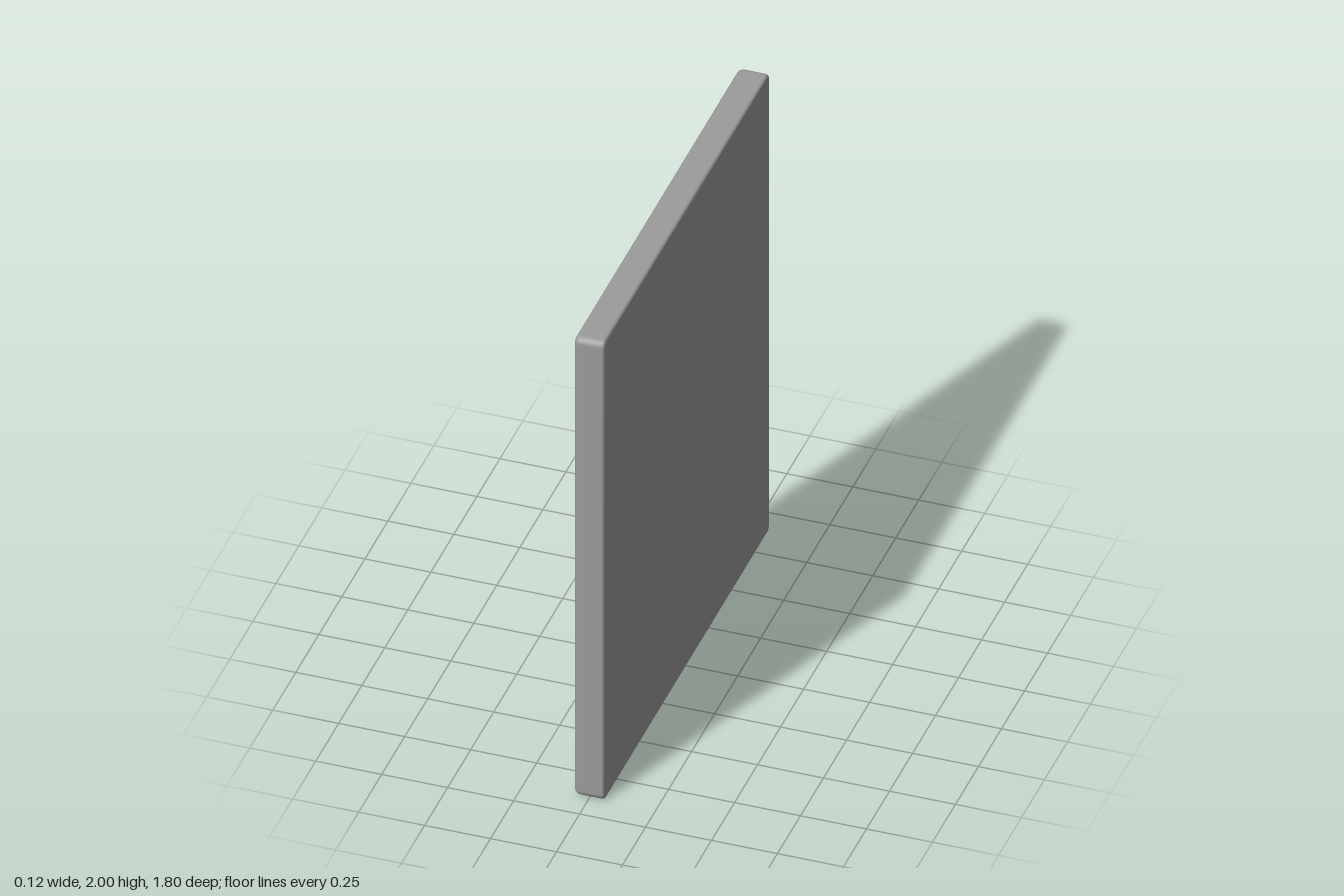
import * as THREE from 'three';

const HALF_Y = 1, HALF_Z = 0.9, HALF_X = 0.058;
const CORNER_STEPS = 5;

// Rounded rectangle in the y-z plane, inset from the outer edge, at depth x
function ring({ inset, x, radius }) {
  const pts = [];
  const hy = HALF_Y - inset - radius, hz = HALF_Z - inset - radius;
  [[1, 1], [-1, 1], [-1, -1], [1, -1]].forEach(([sy, sz], c) => {
    for (let i = 0; i <= CORNER_STEPS; i++) {
      const a = (c + i / CORNER_STEPS) * Math.PI / 2;
      pts.push([x, sy * hy + Math.cos(a) * radius, sz * hz + Math.sin(a) * radius]);
    }
  });
  return pts;
}

// Skin a list of rings; optionally close the first or last with a flat cap
function loft(sections, capStart, capEnd) {
  const n = 4 * (CORNER_STEPS + 1);
  const position = sections.flatMap(s => ring(s).flat());
  const index = [];
  for (let k = 0; k < sections.length - 1; k++) {
    for (let i = 0; i < n; i++) {
      const j = (i + 1) % n;
      const a = k * n + i, d = k * n + j, b = a + n, c = d + n;
      index.push(a, b, c, a, c, d);
    }
  }
  const cap = (k, flip) => {
    const center = position.length / 3;
    position.push(sections[k].x, 0, 0);
    for (let i = 0; i < n; i++) {
      const a = k * n + i, b = k * n + (i + 1) % n;
      index.push(center, flip ? b : a, flip ? a : b);
    }
  };
  if (capStart) cap(0, false);
  if (capEnd) cap(sections.length - 1, true);
  const geometry = new THREE.BufferGeometry();
  geometry.setAttribute('position', new THREE.Float32BufferAttribute(position, 3));
  geometry.setIndex(index);
  geometry.computeVertexNormals();
  return geometry;
}

// Quarter-round profile from the flat face to the side
function fillet(size, side, steps = 4) {
  return Array.from({ length: steps + 1 }, (_, i) => {
    const a = i / steps * Math.PI / 2;
    const inset = size * (1 - Math.sin(a));
    return { inset, x: side * (HALF_X - size * (1 - Math.cos(a))), radius: 0.026 - inset };
  });
}

export function createModel() {
  const group = new THREE.Group();
  group.name = 'recessedPanel';
  const material = new THREE.MeshStandardMaterial({ color: 0x9c9c9c });
  const opening = { inset: 0.088, x: -HALF_X + 0.013, radius: 0.032 };
  const floorX = 0.022, bend = 0.008;

  // Flat face, softened edges, sides and the rim rolling into the opening
  const shell = new THREE.Mesh(loft([
    ...fillet(0.012, 1),
    ...fillet(0.021, -1).reverse(),
    { inset: 0.05, x: -HALF_X, radius: 0.022 },
    { inset: 0.072, x: -HALF_X + 0.004, radius: 0.028 },
    opening,
  ], true, false), material);
  shell.name = 'panelShell';

  // Shallow tray sunk into the other face
  const { inset, radius } = opening;
  const recess = new THREE.Mesh(loft([
    opening,
    { inset, x: floorX - bend, radius },
    { inset: inset + bend * 0.3, x: floorX - bend * 0.3, radius: radius - bend * 0.3 },
    { inset: inset + bend, x: floorX, radius: radius - bend },
  ], false, true), material);
  recess.name = 'recess';

  group.add(shell, recess);
  group.children.forEach(m => { m.position.y = HALF_Y; });
  return group;
}
